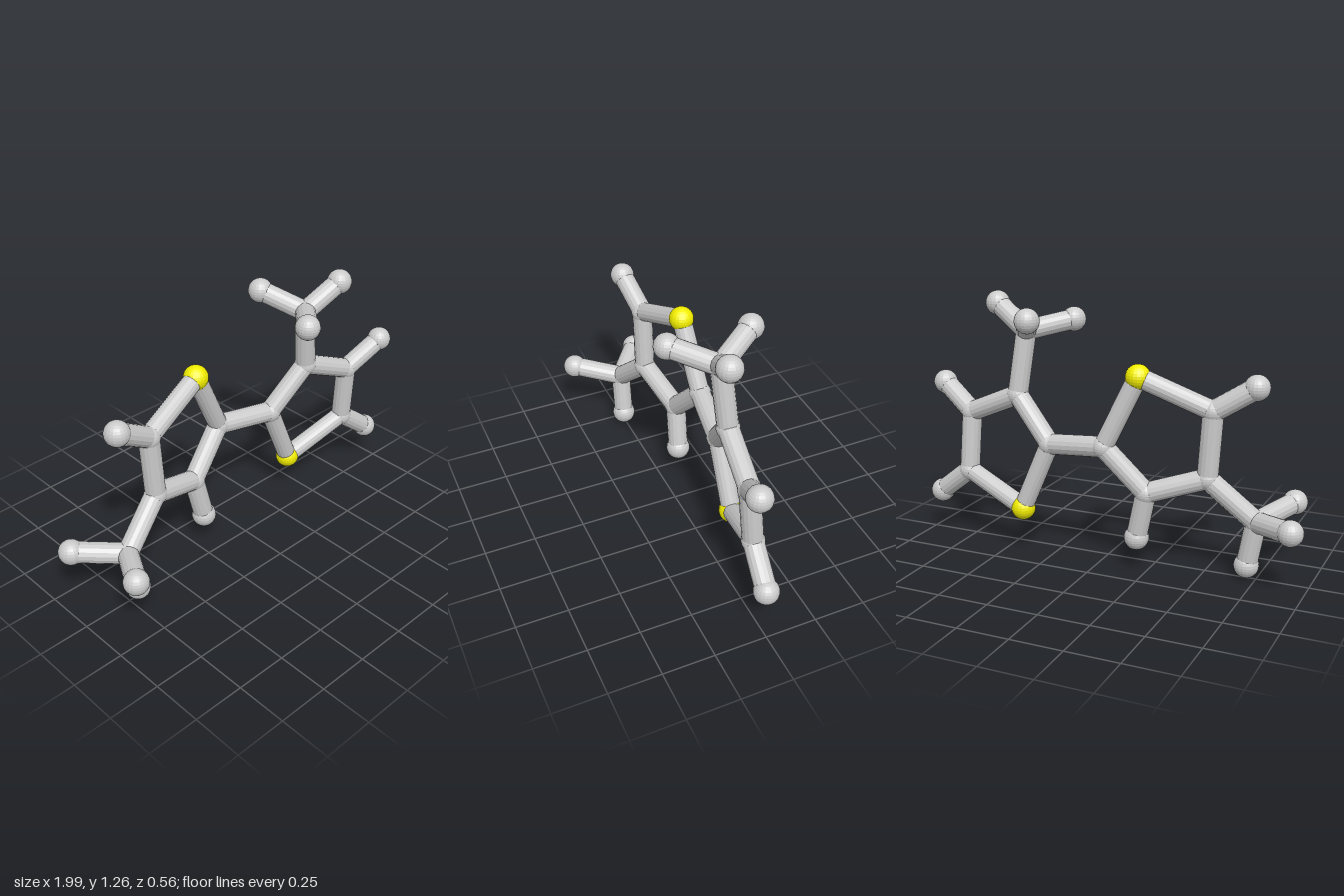
import * as THREE from 'three';

const grey = new THREE.MeshStandardMaterial({ color: 0xcccccc, flatShading: true });
const yellow = new THREE.MeshStandardMaterial({ color: 0xf2ee00, flatShading: true });

// Atom kinds: name, ball radius and material
const kinds = {
  C: ['carbon', 0.055, grey],
  H: ['hydrogen', 0.06, grey],
  S: ['sulfur', 0.06, yellow],
};

// First ring (right side), its methyl group and hydrogens
const firstRing = {
  atoms: [
    ['S', -0.20, 0.94, -0.12], ['C', -0.04, 0.60, -0.15], ['C', -0.24, 0.39, -0.11],
    ['C', -0.52, 0.48, -0.055], ['C', -0.54, 0.80, -0.055],
    ['H', -0.19, 0.16, -0.10], ['H', -0.73, 0.92, -0.025],
    ['C', -0.74, 0.285, 0.0],
    ['H', -0.70, 0.065, 0.005], ['H', -0.94, 0.315, -0.155], ['H', -0.865, 0.33, 0.22],
  ],
  bonds: [[0, 1], [1, 2], [2, 3], [3, 4], [4, 0], [2, 5], [4, 6], [3, 7], [7, 8], [7, 9], [7, 10]],
};

// Second ring (left side), its methyl group and hydrogens
const secondRing = {
  atoms: [
    ['S', 0.41, 0.225, -0.11], ['C', 0.265, 0.565, -0.10], ['C', 0.46, 0.78, -0.05],
    ['C', 0.74, 0.66, -0.02], ['C', 0.75, 0.36, -0.045],
    ['H', 0.925, 0.785, 0.035], ['H', 0.93, 0.22, -0.025],
    ['C', 0.42, 1.095, -0.025],
    ['H', 0.60, 1.21, 0.025], ['H', 0.25, 1.135, 0.15], ['H', 0.31, 1.175, -0.22],
  ],
  bonds: [[0, 1], [1, 2], [2, 3], [3, 4], [4, 0], [3, 5], [4, 6], [2, 7], [7, 8], [7, 9], [7, 10]],
};

const position = (atom) => new THREE.Vector3(atom[1], atom[2], atom[3]);

function makeAtom(atom) {
  const [name, radius, material] = kinds[atom[0]];
  const mesh = new THREE.Mesh(new THREE.SphereGeometry(radius, 20, 14), material);
  mesh.name = `${name}Atom`;
  mesh.position.copy(position(atom));
  return mesh;
}

// A stick between the centres of two atoms
function makeBond(from, to) {
  const a = position(from), b = position(to);
  const direction = b.clone().sub(a);
  const radius = from[0] === 'S' || to[0] === 'S' ? 0.047 : 0.05;
  const mesh = new THREE.Mesh(
    new THREE.CylinderGeometry(radius, radius, direction.length(), 16, 1, true), grey);
  mesh.name = 'bond';
  mesh.position.copy(a).add(b).multiplyScalar(0.5);
  mesh.quaternion.setFromUnitVectors(new THREE.Vector3(0, 1, 0), direction.normalize());
  return mesh;
}

function makeRing({ atoms, bonds }, name) {
  const group = new THREE.Group();
  group.name = name;
  atoms.forEach((atom) => group.add(makeAtom(atom)));
  bonds.forEach(([i, j]) => group.add(makeBond(atoms[i], atoms[j])));
  return group;
}

export function createModel() {
  const model = new THREE.Group();
  model.name = 'molecule';
  model.add(makeRing(firstRing, 'firstRing'), makeRing(secondRing, 'secondRing'));

  // Stick joining the two rings
  const link = makeBond(firstRing.atoms[1], secondRing.atoms[1]);
  link.name = 'linkBond';
  model.add(link);
  return model;
}
